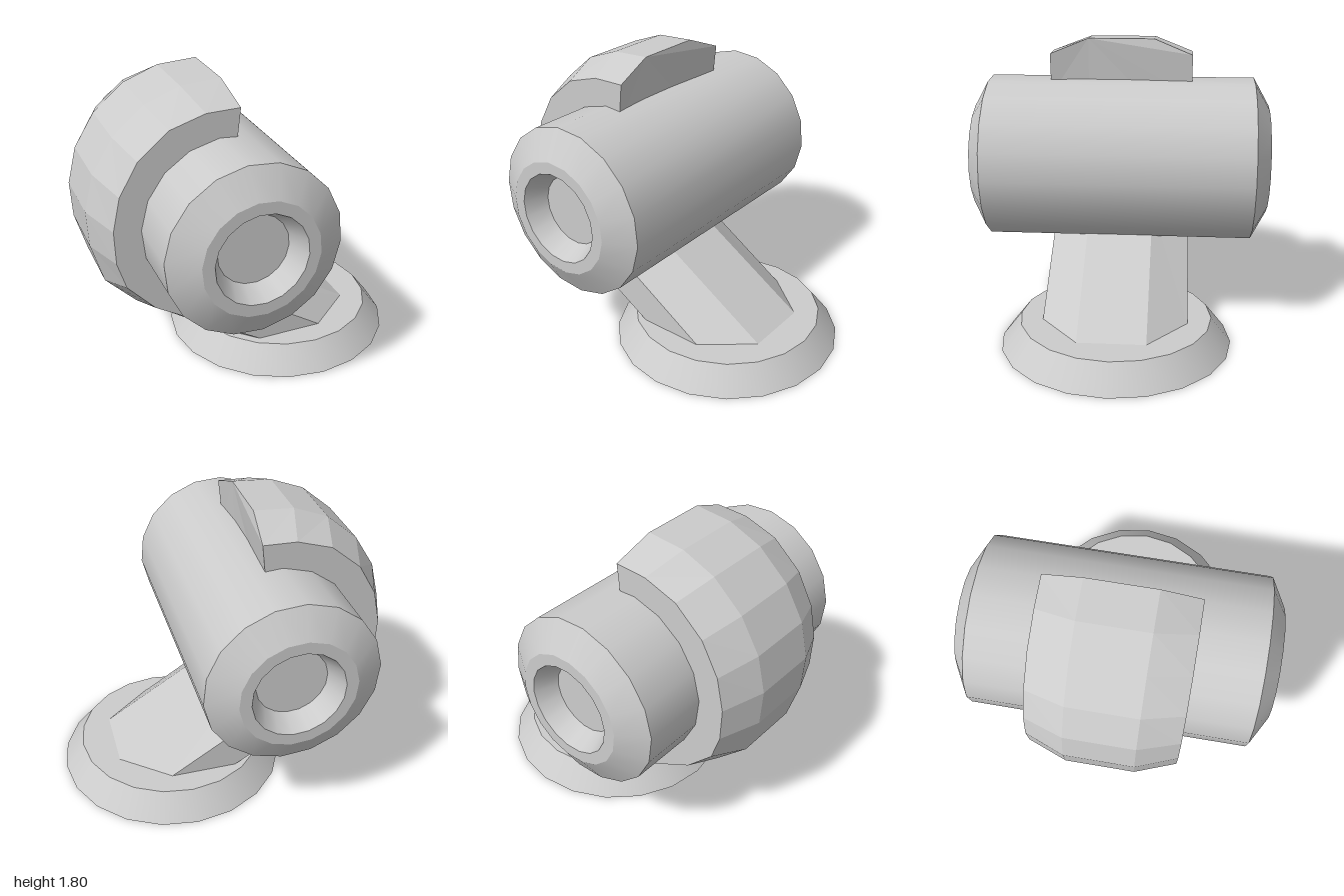
import * as THREE from 'three';
import { mergeGeometries } from 'three/addons/utils/BufferGeometryUtils.js';

const CX = -0.235, CY = 1.04;

// Revolved profile of [radius, height] points with hard edges between bands
function revolve(profile, sides, phiStart = 0) {
  const bands = [];
  for (let i = 0; i < profile.length - 1; i++) {
    const pts = [profile[i], profile[i + 1]].map(([r, y]) => new THREE.Vector2(r, y));
    bands.push(new THREE.LatheGeometry(pts, sides, phiStart));
  }
  return mergeGeometries(bands);
}

// Chamfered strip lofted through stations of [outer, outerEdge, innerEdge, inner] points
function loftStrip(stations, flatHalf, fullHalf) {
  const halves = [flatHalf, fullHalf, fullHalf, flatHalf];
  const rings = stations.map((s) => {
    const side = s.map(([x, y], k) => [x, y, halves[k]]);
    const mirrored = side.map(([x, y, z]) => [x, y, -z]).reverse();
    return [...side, ...mirrored];
  });
  const n = 8, index = [];
  for (let i = 0; i < rings.length - 1; i++) {
    for (let j = 0; j < n; j++) {
      const a = i * n + j, b = i * n + (j + 1) % n;
      index.push(a, a + n, b + n, a, b + n, b);
    }
  }
  const last = (rings.length - 1) * n;
  for (let j = 1; j < n - 1; j++) {
    index.push(0, j, j + 1, last, last + j + 1, last + j);
  }
  const geo = new THREE.BufferGeometry();
  geo.setAttribute('position', new THREE.Float32BufferAttribute(rings.flat(2), 3));
  geo.setIndex(index);
  const flat = geo.toNonIndexed();
  flat.computeVertexNormals();
  return flat;
}

export function createModel() {
  const group = new THREE.Group();
  const add = (name, geometry, options = {}) => {
    const material = new THREE.MeshStandardMaterial({ color: 0xcccccc, ...options });
    const mesh = new THREE.Mesh(geometry, material);
    mesh.name = name;
    group.add(mesh);
    return mesh;
  };

  // Barrel with bevelled ends and a tapered recess at each end
  const end = [[0.515, 0.83], [0.343, 0.928], [0.272, 0.928], [0.21, 0.8], [0, 0.8]];
  const start = end.map(([r, y]) => [r, -y]).reverse();
  const barrel = add('barrel', revolve([...start, ...end], 18, THREE.MathUtils.degToRad(85.5)));
  barrel.rotation.x = Math.PI / 2;
  barrel.position.set(CX, CY, 0);

  // Hooked arm: wraps the back of the barrel, then runs straight down to the base
  const outer = [[-0.18, 1.805], [-0.42, 1.79], [-0.63, 1.71], [-0.82, 1.55], [-0.945, 1.35],
    [-1, 1.13], [-0.99, 0.91], [-0.92, 0.665], [-0.74, 0.48]];
  const edge = [[-0.16, 1.71], [-0.36, 1.705], [-0.57, 1.64], [-0.75, 1.49], [-0.86, 1.3],
    [-0.905, 1.1], [-0.9, 0.9], [-0.85, 0.735], [-0.69, 0.56]];
  // Hidden inner side, pulled towards the barrel axis
  const inward = ([x, y], r) => {
    const k = r / Math.hypot(x - CX, y - CY);
    return [CX + (x - CX) * k, CY + (y - CY) * k];
  };
  const stations = outer.map((o, i) => [o, edge[i], inward(edge[i], 0.41), inward(o, 0.34)]);
  stations[8][2] = [-0.45, 0.69];
  stations[8][3] = [-0.2, 0.705];
  stations.push([[-0.27, 0.16], [-0.03, 0.16], [0.38, 0.16], [0.67, 0.16]]);
  add('arm', loftStrip(stations, 0.205, 0.443), { flatShading: true });

  // Round foot, sloped outside and open underneath
  const foot = add('base', revolve([[0.713, 0], [0.59, 0.158], [0, 0.158]], 20),
    { side: THREE.DoubleSide });
  foot.position.x = 0.285;

  return group;
}
